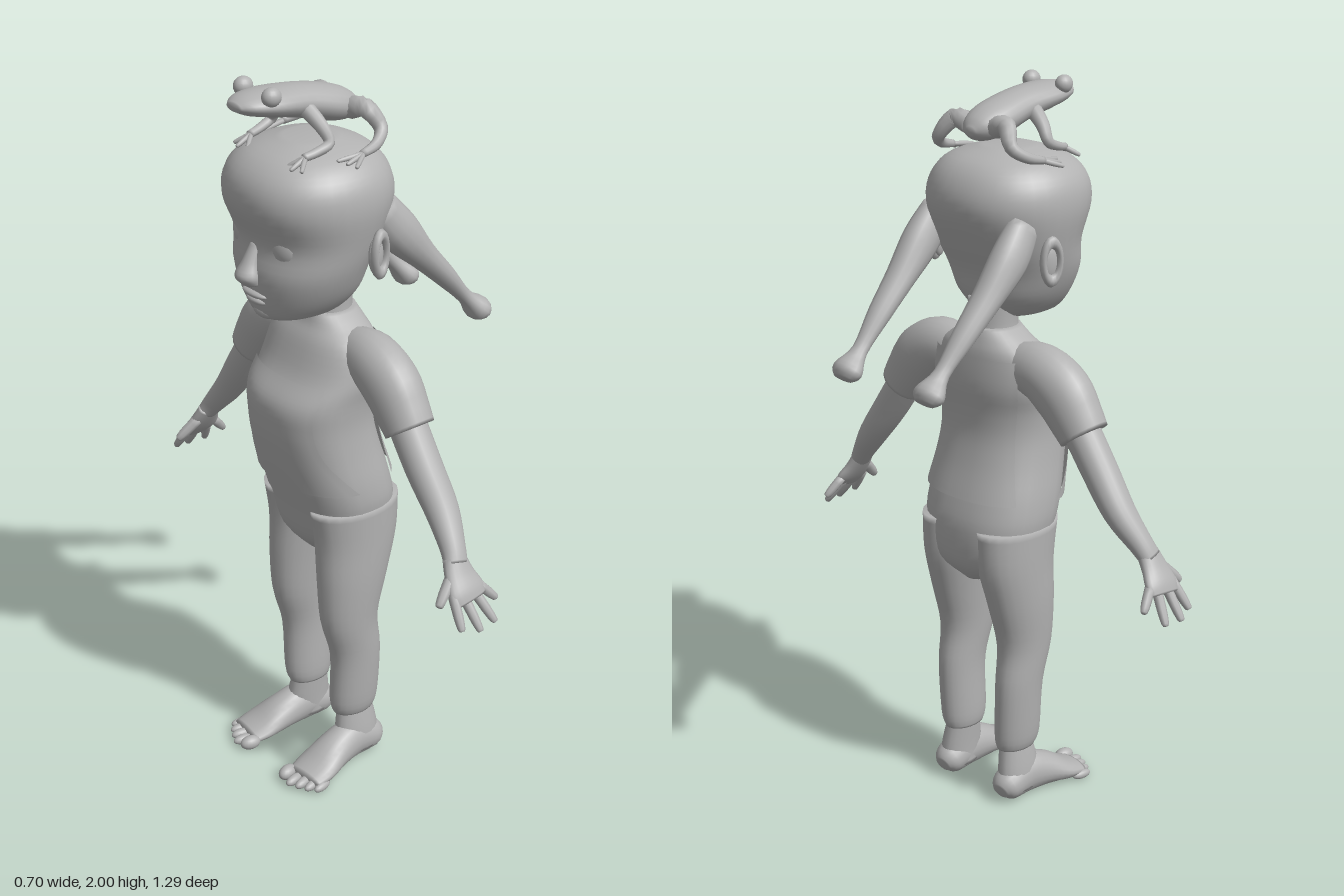
import * as THREE from 'three';

const V = (x, y, z) => new THREE.Vector3(x, y, z);
const UP = V(0, 1, 0), X = V(1, 0, 0), Z = V(0, 0, 1);

// Catmull-Rom resampling of rows of numbers
function smooth(rows, n = 4) {
  const out = [], row = (i) => rows[Math.min(rows.length - 1, Math.max(0, i))];
  for (let i = 0; i < rows.length - 1; i++) {
    for (let k = 0; k < n; k++) {
      const t = k / n, [a, b, c, d] = [row(i - 1), row(i), row(i + 1), row(i + 2)];
      out.push(b.map((p, j) => p + 0.5 * t * (c[j] - a[j] + t * (2 * a[j] - 5 * p + 4 * c[j] - d[j] + t * (3 * (p - c[j]) + d[j] - a[j])))));
    }
  }
  out.push(row(rows.length - 1));
  return out;
}

// Closed skin over elliptical sections [x, y, z, radius along u, radius across]
function skin(sections, { u = X, axis = null, seg = 20, e = 1, n = 4 } = {}) {
  const rows = smooth(sections, n), pos = [], idx = [];
  const c = rows.map((r) => V(r[0], r[1], r[2]));
  const bend = (t) => Math.sign(t) * Math.abs(t) ** e;
  rows.forEach((r, i) => {
    const T = axis || c[Math.min(i + 1, c.length - 1)].clone().sub(c[Math.max(i - 1, 0)]).normalize();
    const a = u.clone().addScaledVector(T, -u.dot(T)).normalize();
    const b = T.clone().cross(a);
    for (let k = 0; k < seg; k++) {
      const t = k / seg * Math.PI * 2;
      const p = c[i].clone().addScaledVector(a, r[3] * bend(Math.cos(t))).addScaledVector(b, r[4] * bend(Math.sin(t)));
      pos.push(p.x, p.y, p.z);
    }
  });
  const last = (rows.length - 1) * seg, end = rows.length * seg;
  pos.push(...c[0].toArray(), ...c[c.length - 1].toArray());
  for (let k = 0; k < seg; k++) {
    const m = (k + 1) % seg;
    for (let i = 0; i < last; i += seg) idx.push(i + k, i + m, i + seg + m, i + k, i + seg + m, i + seg + k);
    idx.push(end, m, k, end + 1, last + k, last + m);
  }
  const g = new THREE.BufferGeometry();
  g.setAttribute('position', new THREE.Float32BufferAttribute(pos, 3));
  g.setIndex(idx);
  g.computeVertexNormals();
  return g;
}

// Rows [y, front x, back x, half width, centre z] to upright sections
const upright = (rows, s = 1) => rows.map(([y, f, b, w, z = 0]) => [(f + b) / 2, y, z * s, (b - f) / 2, w]);

const torso = upright([
  [0.66, -0.13, 0.02, 0.04], [0.72, -0.18, 0.07, 0.15], [0.82, -0.205, 0.08, 0.183], [0.9, -0.228, 0.065, 0.186],
  [1.0, -0.252, 0.035, 0.174], [1.08, -0.264, 0.018, 0.168], [1.15, -0.26, 0.018, 0.172], [1.22, -0.212, 0.026, 0.18],
  [1.3, -0.175, 0.02, 0.165], [1.34, -0.15, 0.01, 0.115], [1.37, -0.14, 0, 0.07]]);

// Cloth panel just off the torso; rows are [y, half angle] around the given middle angle
function panel(rows, middle, off = 0.009, cols = 14) {
  const pos = [], idx = [], body = smooth(torso, 8), edge = smooth(rows, 5);
  edge.forEach(([y, half], i) => {
    const j = Math.max(1, body.findIndex((r) => r[1] >= y)), A = body[j - 1], B = body[j];
    const t = (y - A[1]) / (B[1] - A[1]);
    const [x, , z, rx, rz] = A.map((v, k) => v + (B[k] - v) * t);
    for (let k = 0; k <= cols; k++) {
      const a = middle + half * (1 - 2 * k / cols), c = Math.cos(a), s = Math.sin(a);
      pos.push(x + (rx + off) * Math.sign(c) * Math.abs(c) ** 0.85, y, z + (rz + off) * Math.sign(s) * Math.abs(s) ** 0.85);
      if (i && k) {
        const q = i * (cols + 1) + k, p = q - cols - 1;
        idx.push(p - 1, q, p, p - 1, q - 1, q);
      }
    }
  });
  const g = new THREE.BufferGeometry();
  g.setAttribute('position', new THREE.Float32BufferAttribute(pos, 3));
  g.setIndex(idx.reverse());
  g.computeVertexNormals();
  return g;
}

export function createModel() {
  const model = new THREE.Group();
  const grey = new THREE.MeshStandardMaterial({ color: 0xb2b2b2, side: THREE.DoubleSide });
  grey.name = 'plain grey';
  const add = (name, geo) => {
    const m = new THREE.Mesh(geo, grey);
    m.name = name;
    model.add(m);
    return m;
  };
  const ball = (name, p, r, turnY = 0) => {
    const m = add(name, new THREE.SphereGeometry(1, 18, 12));
    m.position.set(...p);
    m.scale.set(...r);
    m.rotation.y = turnY;
    return m;
  };
  const rod = (name, from, to, r, u = X) => {
    const mid = (t, k) => [...from.map((v, i) => v + (to[i] - v) * t), r * k, r * k];
    add(name, skin([mid(0, 1), mid(0.6, 0.95), mid(0.95, 0.7), mid(1, 0.3)], { u, seg: 8, n: 2 }));
  };

  // Torso, overalls and neck
  add('torso', skin(torso, { axis: UP, seg: 32, e: 0.85 }));
  add('bib', panel([[0.9, 1.4], [0.95, 1.2], [1.02, 0.95], [1.1, 0.85], [1.17, 0.85], [1.21, 0.8]], Math.PI));
  add('backPanel', panel([[0.91, 0.95], [1.0, 0.85], [1.1, 0.8], [1.2, 0.85], [1.3, 0.9]], 0));
  add('neck', skin(upright([[1.31, -0.16, 0.01, 0.085], [1.36, -0.14, -0.005, 0.068], [1.45, -0.14, -0.005, 0.07]]), { axis: UP }));

  // Head and face
  add('head', skin(upright([
    [1.383, -0.265, -0.1, 0.045], [1.4, -0.285, -0.05, 0.1], [1.45, -0.302, -0.01, 0.145], [1.52, -0.312, 0.008, 0.178],
    [1.6, -0.302, 0.045, 0.198], [1.69, -0.335, 0.077, 0.213], [1.76, -0.325, 0.064, 0.2], [1.81, -0.275, 0.02, 0.15],
    [1.838, -0.19, -0.06, 0.06]]), { axis: UP, seg: 36, e: 0.92 }));
  add('nose', skin([[-0.29, 1.6, 0, 0.01, 0.015], [-0.312, 1.55, 0, 0.02, 0.022], [-0.322, 1.515, 0, 0.03, 0.034],
    [-0.312, 1.49, 0, 0.02, 0.026]], { axis: UP, seg: 14 }));
  ball('upperLip', [-0.297, 1.462, 0], [0.02, 0.011, 0.048]);
  ball('lowerLip', [-0.291, 1.443, 0], [0.02, 0.012, 0.04]);
  ball('chin', [-0.262, 1.408, 0], [0.03, 0.024, 0.045]);

  // Frog on the head
  add('frogBody', skin([
    [-0.35, 1.952, 0, 0.01, 0.025], [-0.32, 1.952, 0, 0.024, 0.053], [-0.26, 1.947, 0, 0.034, 0.07], [-0.16, 1.932, 0, 0.042, 0.064],
    [-0.06, 1.905, 0, 0.045, 0.066], [-0.005, 1.89, 0, 0.032, 0.045], [0.02, 1.886, 0, 0.01, 0.014]], { u: UP }));

  for (const s of [1, -1]) {
    const side = s < 0 ? 'left' : 'right';
    const at = (x, y, z) => [x, y, z * s];
    const flip = (rows) => rows.map(([x, y, z, a, b = a]) => [x, y, z * s, a, b]);

    // Eye, ear and pigtail
    ball(side + 'Eye', at(-0.27, 1.6, 0.085), [0.022, 0.046, 0.04], s * 0.3);
    const ear = add(side + 'Ear', new THREE.TorusGeometry(0.036, 0.012, 8, 20));
    ear.position.set(...at(-0.066, 1.57, 0.206));
    ear.scale.set(0.7, 1.4, 1);
    ear.rotation.y = s * 0.3;
    ball(side + 'EarBowl', at(-0.07, 1.565, 0.194), [0.027, 0.05, 0.014], s * 0.3);
    add(side + 'Pigtail', skin(flip([
      [-0.02, 1.66, 0.15, 0.035, 0.05], [0.04, 1.585, 0.155, 0.046, 0.055], [0.12, 1.5, 0.153, 0.042, 0.038], [0.2, 1.42, 0.15, 0.034, 0.029],
      [0.275, 1.34, 0.146, 0.023, 0.02], [0.32, 1.296, 0.146, 0.046, 0.034], [0.338, 1.277, 0.146, 0.03, 0.018]]), { u: Z, seg: 14 }));

    // Sleeve, arm and hand
    add(side + 'Sleeve', skin(flip([
      [-0.065, 1.265, 0.1, 0.06, 0.07], [-0.065, 1.27, 0.18, 0.07, 0.078], [-0.065, 1.23, 0.25, 0.072, 0.084],
      [-0.065, 1.175, 0.295, 0.068, 0.076], [-0.065, 1.132, 0.326, 0.064, 0.068]])));
    add(side + 'Arm', skin(flip([
      [-0.065, 1.18, 0.29, 0.05], [-0.065, 1.05, 0.38, 0.05, 0.047], [-0.063, 0.955, 0.45, 0.046, 0.04],
      [-0.078, 0.88, 0.51, 0.035, 0.03], [-0.088, 0.845, 0.535, 0.034, 0.024]])));
    add(side + 'Palm', skin(flip([
      [-0.086, 0.86, 0.525, 0.033, 0.024], [-0.088, 0.82, 0.55, 0.045, 0.022], [-0.085, 0.785, 0.575, 0.056, 0.02],
      [-0.082, 0.762, 0.59, 0.05, 0.014]])));
    rod(side + 'Thumb', at(-0.11, 0.825, 0.545), at(-0.172, 0.765, 0.568), 0.016, UP);
    [[-0.128, -0.142, 0.71, 0.625], [-0.1, -0.092, 0.698, 0.64], [-0.066, -0.036, 0.7, 0.632], [-0.042, 0.004, 0.735, 0.59]]
      .forEach(([x0, x1, y, z], i) => rod(`${side}Finger${i + 1}`, at(x0, 0.785, 0.572), at(x1, y, z), 0.0135));

    // Trouser leg, ankle, foot and toes
    add(side + 'Leg', skin(upright([
      [0.155, -0.128, 0, 0.043, 0.1], [0.2, -0.14, 0.01, 0.052, 0.103], [0.35, -0.142, 0.013, 0.056, 0.109], [0.47, -0.172, 0.002, 0.065, 0.108],
      [0.6, -0.18, 0.035, 0.076, 0.106], [0.72, -0.182, 0.068, 0.084, 0.1], [0.83, -0.2, 0.076, 0.088, 0.097]], s), { axis: UP, seg: 24 }));
    add(side + 'Ankle', skin(upright([
      [0.03, -0.12, 0.008, 0.045, 0.112], [0.09, -0.13, 0.006, 0.044, 0.11], [0.18, -0.11, -0.01, 0.038, 0.1]], s), { axis: UP }));
    add(side + 'Foot', skin(flip([
      [0.015, 0.036, 0.112, 0.022, 0.024], [-0.01, 0.045, 0.112, 0.045, 0.044], [-0.08, 0.06, 0.114, 0.06, 0.047],
      [-0.15, 0.05, 0.12, 0.05, 0.054], [-0.22, 0.03, 0.13, 0.03, 0.064], [-0.27, 0.02, 0.135, 0.018, 0.058]]), { u: UP }));
    [[-0.29, 0.087, 0.02], [-0.292, 0.119, 0.014], [-0.28, 0.145, 0.014], [-0.266, 0.169, 0.013], [-0.248, 0.19, 0.013]]
      .forEach(([x, z, r], i) => ball(`${side}Toe${i + 1}`, at(x, r, z), [0.03, r, r], s * 0.2));

    // Frog eye, legs and toes
    ball(side + 'FrogEye', at(-0.278, 1.976, 0.056), [0.026, 0.024, 0.022]);
    add(side + 'FrogFrontLeg', skin(flip([
      [-0.17, 1.925, 0.045, 0.022], [-0.158, 1.89, 0.09, 0.018], [-0.152, 1.852, 0.115, 0.014],
      [-0.19, 1.835, 0.113, 0.012], [-0.225, 1.828, 0.108, 0.01]]), { u: V(0, 0.6, 0.75 * s), seg: 10 }));
    add(side + 'FrogBackLeg', skin(flip([
      [-0.03, 1.895, 0.045, 0.028], [-0.02, 1.905, 0.09, 0.025], [0, 1.86, 0.125, 0.018],
      [-0.035, 1.832, 0.15, 0.014], [-0.085, 1.82, 0.158, 0.01]]), { u: V(1, 0, s), seg: 10 }));
    for (const k of [-1, 0, 1]) {
      rod(side + 'FrogFrontToe', at(-0.22, 1.828, 0.108), at(-0.265 + 0.012 * k * k, 1.805, 0.108 + 0.028 * k), 0.007, UP);
      rod(side + 'FrogBackToe', at(-0.08, 1.82, 0.157), at(-0.14 + 0.012 * k, 1.808 - 0.005 * k, 0.167 + 0.022 * k), 0.007, UP);
    }
  }
  return model;
}
